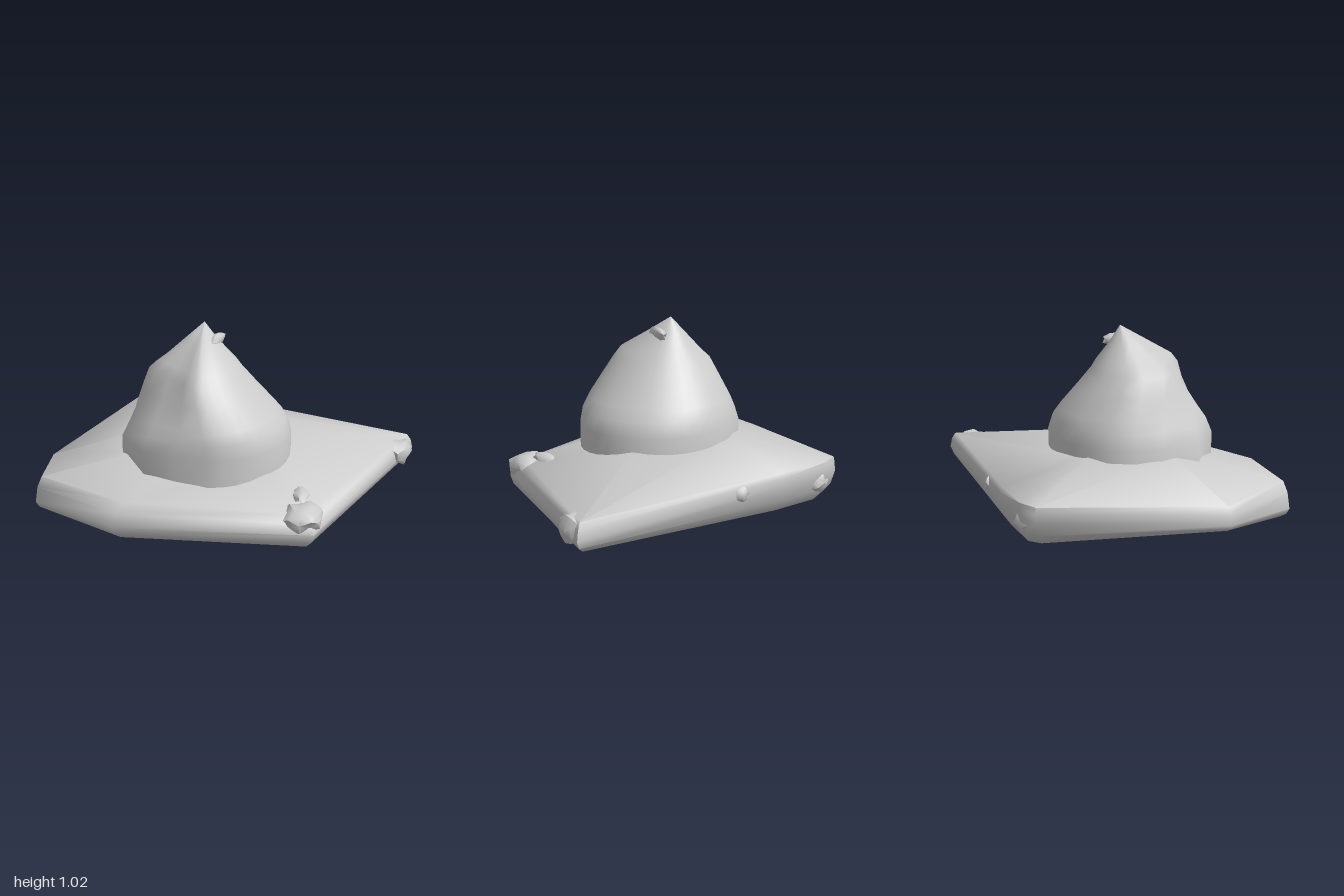
import * as THREE from 'three';
import { toCreasedNormals } from 'three/addons/utils/BufferGeometryUtils.js';

const material = new THREE.MeshStandardMaterial({ color: 0xcccccc });

function addMesh(group, name, geometry, crease) {
  const mesh = new THREE.Mesh(toCreasedNormals(geometry, crease), material);
  mesh.name = name;
  group.add(mesh);
  return mesh;
}

// Skin over rings stacked from low to high, each running anticlockwise seen from above
function loft(rings, bottom, top) {
  const pos = [];
  const tri = (...pts) => pts.forEach((p) => pos.push(p[0], p[1], p[2]));
  const n = rings[0].length;
  const last = rings[rings.length - 1];
  for (let i = 0; i < n; i++) {
    const j = (i + 1) % n;
    for (let r = 0; r < rings.length - 1; r++) {
      const lo = rings[r], hi = rings[r + 1];
      tri(lo[i], lo[j], hi[j]);
      tri(lo[i], hi[j], hi[i]);
    }
    tri(rings[0][j], rings[0][i], bottom);
    tri(last[i], last[j], top);
  }
  const geometry = new THREE.BufferGeometry();
  geometry.setAttribute('position', new THREE.Float32BufferAttribute(pos, 3));
  return geometry;
}

// Small lump: an icosahedron with seeded bumps
function lump(group, name, [x, y, z], [sx, sy, sz], seed, turn = 0) {
  const geometry = new THREE.IcosahedronGeometry(1, 1);
  const p = geometry.attributes.position;
  const v = new THREE.Vector3();
  for (let i = 0; i < p.count; i++) {
    v.fromBufferAttribute(p, i);
    const k = 0.88 + 0.14 * Math.sin(seed + v.x * 5.1 + v.y * 3.7 - v.z * 4.3);
    p.setXYZ(i, v.x * k * sx, v.y * k * sy, v.z * k * sz);
  }
  const mesh = addMesh(group, name, geometry, 0.95);
  mesh.position.set(x, y, z);
  mesh.rotation.y = turn;
}

export function createModel() {
  const group = new THREE.Group();
  const cx = -0.09, cz = 0.1;

  // Slab corners: x, z, bottom y, bottom inset, middle y, top y, top inset, y beside the dome
  const corners = [
    [1.0, -0.475, 0.06, 0.07, 0.13, 0.22, 0.04, 0.36],
    [-0.23, -0.735, 0.05, 0.07, 0.2, 0.27, 0.015, 0.365],
    [-0.52, -0.77, 0.06, 0.07, 0.22, 0.28, 0.005, 0.37],
    [-0.63, -0.74, 0.08, 0.06, 0.2, 0.28, 0.01, 0.38],
    [-1.0, 0.17, 0.1, 0.04, 0.14, 0.23, 0.03, 0.385],
    [-0.95, 0.57, 0.09, 0.05, 0.14, 0.285, 0.04, 0.35],
    [-0.48, 0.775, 0.06, 0.06, 0.14, 0.255, 0.08, 0.31],
    [0.54, 0.65, 0.035, 0.05, 0.12, 0.21, 0.08, 0.31],
  ];
  const ring = (height, inset) => corners.map((c) => {
    const dx = c[0] - cx, dz = c[1] - cz, len = Math.hypot(dx, dz);
    const k = 1 - inset(c, len) / len;
    return [cx + dx * k, height(c), cz + dz * k];
  });
  const slab = loft([
    ring((c) => c[2], (c) => c[3]),
    ring((c) => c[2] * 0.6 + c[4] * 0.4, (c) => c[3] * 0.35),
    ring((c) => c[4], () => 0),
    ring((c) => c[4] * 0.4 + c[5] * 0.6, (c) => c[6] * 0.35),
    ring((c) => c[5], (c) => c[6]),
    ring((c) => c[7], (c, len) => len - 0.42),
  ], [0.53, 0, -0.25], [cx, 0.36, cz]);
  addMesh(group, 'slab', slab, 1.15);

  // Dome footprint in a unit square: each point is u, w, and its u, w where the front right is cut flat
  const footprint = [];
  for (let i = 0; i <= 20; i++) {
    const a = THREE.MathUtils.degToRad(-82 + i * 10);
    footprint.push([Math.cos(a), -Math.sin(a), Math.cos(a), -Math.sin(a)]);
  }
  footprint.push(
    [-0.74, -0.74, -0.74, -0.74], [-0.92, -0.47, -0.92, -0.47], [-1, -0.12, -1, -0.05],
    [-1, 0.42, -0.8, 0.24], [-0.64, 0.87, -0.45, 0.48], [-0.25, 0.95, -0.1, 0.74],
  );

  // Dome levels: y, min x, max x, min z, max z, share of the flat cut
  const levels = [
    [0.24, -0.54, 0.35, -0.32, 0.53, 0],
    [0.43, -0.54, 0.35, -0.32, 0.53, 0],
    [0.51, -0.515, 0.32, -0.3, 0.53, 0.15],
    [0.57, -0.495, 0.27, -0.27, 0.52, 0.35],
    [0.68, -0.455, 0.18, -0.19, 0.47, 0.7],
    [0.78, -0.415, 0.1, -0.12, 0.42, 1],
    [0.83, -0.35, 0.06, -0.09, 0.38, 1],
    [0.93, -0.235, -0.05, -0.02, 0.2, 1],
  ];
  const rings = levels.map(([y, x0, x1, z0, z1, cut]) => footprint.map(([u, w, cu, cw]) => [
    (x0 + x1) / 2 + THREE.MathUtils.lerp(u, cu, cut) * (x1 - x0) / 2,
    y,
    (z0 + z1) / 2 + THREE.MathUtils.lerp(w, cw, cut) * (z1 - z0) / 2,
  ]));
  addMesh(group, 'dome', loft(rings, [cx, 0.24, cz], [-0.13, 1.02, 0.04]), 1.0);

  // Lumps stuck to the rim and the peak
  lump(group, 'frontCornerLump', [0.47, 0.18, 0.57], [0.12, 0.08, 0.12], 1);
  lump(group, 'frontCornerTail', [0.45, 0.245, 0.45], [0.05, 0.03, 0.09], 4);
  lump(group, 'sideCornerLump', [0.925, 0.155, -0.35], [0.07, 0.085, 0.11], 2, -0.4);
  lump(group, 'backCornerLump', [-0.49, 0.17, -0.72], [0.08, 0.08, 0.06], 3);
  lump(group, 'backEdgeLump', [0.05, 0.2, -0.655], [0.06, 0.05, 0.04], 5, -0.2);
  lump(group, 'peakChip', [-0.06, 0.93, 0.07], [0.03, 0.04, 0.1], 6, -0.3);
  return group;
}
